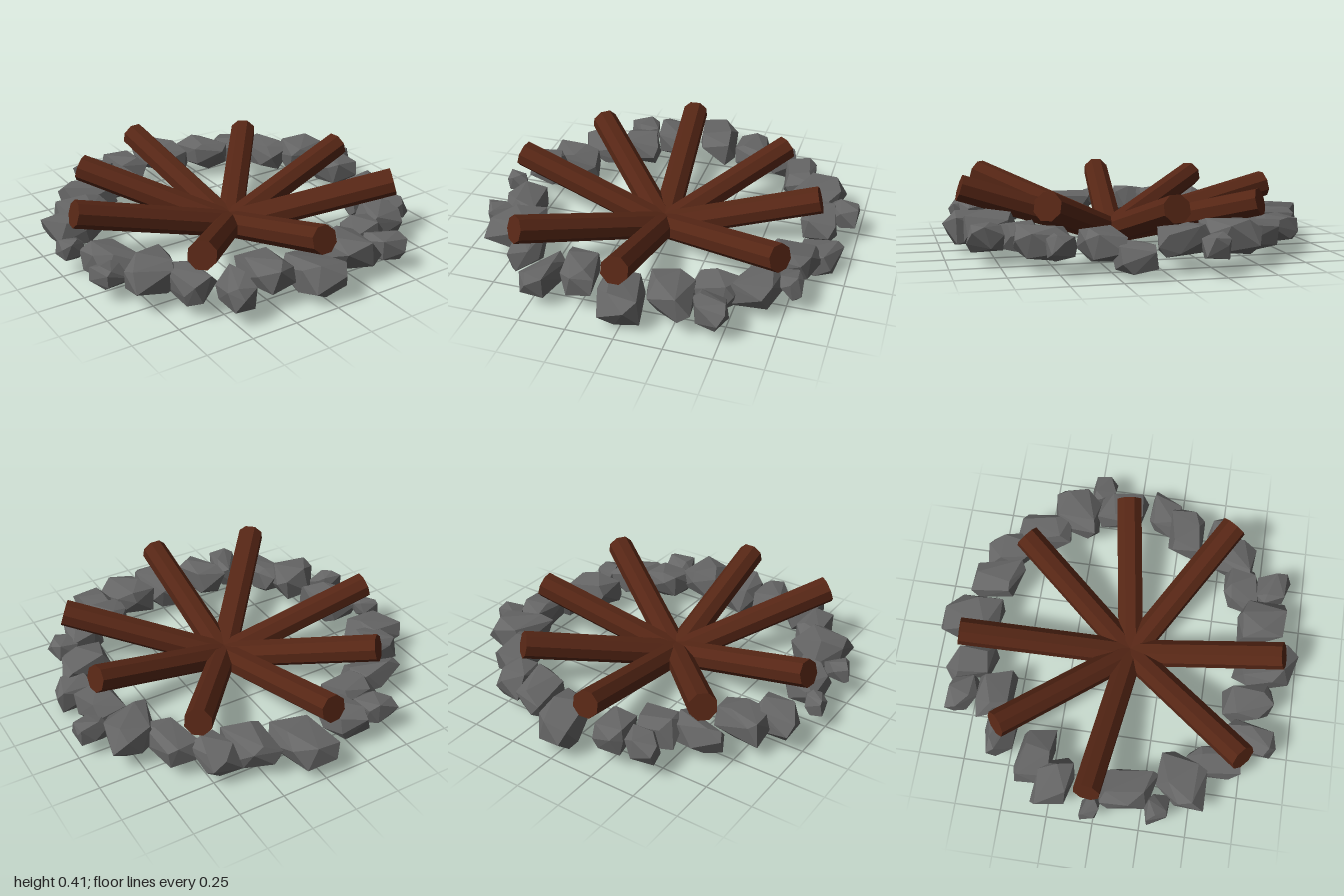
import * as THREE from 'three';
import { ConvexGeometry } from 'three/addons/geometries/ConvexGeometry.js';

const stoneMat = new THREE.MeshStandardMaterial({ color: 0x666666, flatShading: true });
const woodMat = new THREE.MeshStandardMaterial({ color: 0x562615, flatShading: true });

function seeded(seed) {
  let s = seed * 7919 + 17;
  return () => (s = (s * 16807) % 2147483647) / 2147483647;
}

// Ring stones: centre x, z, width, depth
const STONES = [
  [0.04, -0.84, 0.26, 0.33], [-0.24, -0.78, 0.2, 0.27], [-0.42, -0.8, 0.2, 0.17],
  [-0.4, -0.62, 0.27, 0.2], [-0.59, -0.56, 0.3, 0.18], [-0.7, -0.35, 0.3, 0.2],
  [-0.83, -0.23, 0.29, 0.22], [-0.94, -0.02, 0.13, 0.1], [-0.81, 0.17, 0.21, 0.3],
  [-0.9, 0.33, 0.17, 0.13], [-0.73, 0.44, 0.29, 0.27], [-0.6, 0.6, 0.19, 0.3],
  [-0.45, 0.78, 0.19, 0.28], [-0.26, 0.74, 0.21, 0.28], [-0.02, 0.82, 0.26, 0.35],
  [0.22, 0.77, 0.27, 0.27], [0.43, 0.82, 0.19, 0.19], [0.41, 0.64, 0.27, 0.2],
  [0.6, 0.57, 0.26, 0.26], [0.76, 0.49, 0.14, 0.16], [0.73, 0.29, 0.3, 0.2],
  [0.84, 0.16, 0.25, 0.19], [0.8, -0.09, 0.21, 0.28], [0.91, -0.22, 0.17, 0.14],
  [0.75, -0.35, 0.29, 0.27], [0.61, -0.52, 0.2, 0.31], [0.47, -0.7, 0.2, 0.24],
  [0.28, -0.73, 0.21, 0.29],
];

// Stones sitting higher or lower than the rest, by index
const LIFT = { 0: -0.01, 8: -0.025, 10: 0.02, 13: 0.025, 14: -0.02, 15: 0.02, 21: -0.05, 22: 0.01, 24: 0.02 };

// Stones whose long side leans the other way in plan
const MIRRORED = new Set([10, 12, 17, 18, 20, 21, 24]);

// Outer log ends: x, y, z
const LOG_ENDS = [
  [-0.12, 0.3, -0.86], [0.5, 0.285, -0.6], [0.8, 0.31, -0.06], [0.71, 0.33, 0.55],
  [-0.02, 0.34, 0.895], [-0.61, 0.355, 0.735], [-0.9, 0.32, -0.04], [-0.61, 0.31, -0.57],
];

// Angular boulder: convex hull of jittered points, sized to its width and depth
function makeStone([x, z, w, d], index) {
  const rand = seeded(index + 1);
  const height = 0.065 + 0.19 * (w + d); // larger stones stand taller
  const skew = MIRRORED.has(index) ? -0.25 : 0.25;
  const count = 14;
  const points = [];
  for (let i = 0; i < count; i++) {
    const h = 1 - (2 * (i + 0.5)) / count;
    const a = i * 2.4 + rand() * 0.7 + index;
    const r = Math.sqrt(1 - h * h);
    const p = new THREE.Vector3(r * Math.cos(a), h, r * Math.sin(a));
    // Push towards a blocky shape with flatter sides
    for (const k of ['x', 'y', 'z']) p[k] = Math.sign(p[k]) * Math.abs(p[k]) ** 0.55;
    p.multiplyScalar(0.94 + rand() * 0.12);
    p.x += skew * p.z;
    points.push(p);
  }
  const box = new THREE.Box3().setFromPoints(points);
  const mid = box.getCenter(new THREE.Vector3());
  const scale = new THREE.Vector3(w, height, d).divide(box.getSize(new THREE.Vector3()));
  points.forEach((p) => p.sub(mid).multiply(scale));
  const stone = new THREE.Mesh(new ConvexGeometry(points), stoneMat);
  stone.position.set(x, 0.145 + (LIFT[index] ?? 0), z);
  stone.name = `stone${index + 1}`;
  return stone;
}

// Eight-sided log leaning outwards from the middle
function makeLog(end, index) {
  const a = new THREE.Vector3(-0.03, 0.073, 0.07);
  const b = new THREE.Vector3(...end);
  const geo = new THREE.CylinderGeometry(0.074, 0.074, a.distanceTo(b), 8);
  geo.rotateY(Math.PI / 8);
  geo.rotateX(Math.PI / 2);
  const log = new THREE.Mesh(geo, woodMat);
  log.position.copy(a).add(b).multiplyScalar(0.5);
  log.lookAt(b);
  log.name = `log${index + 1}`;
  return log;
}

export function createModel() {
  const model = new THREE.Group();
  model.name = 'campfire';

  const ring = new THREE.Group();
  ring.name = 'stoneRing';
  ring.add(...STONES.map(makeStone));

  const logs = new THREE.Group();
  logs.name = 'logs';
  logs.add(...LOG_ENDS.map(makeLog));

  model.add(ring, logs);
  return model;
}
